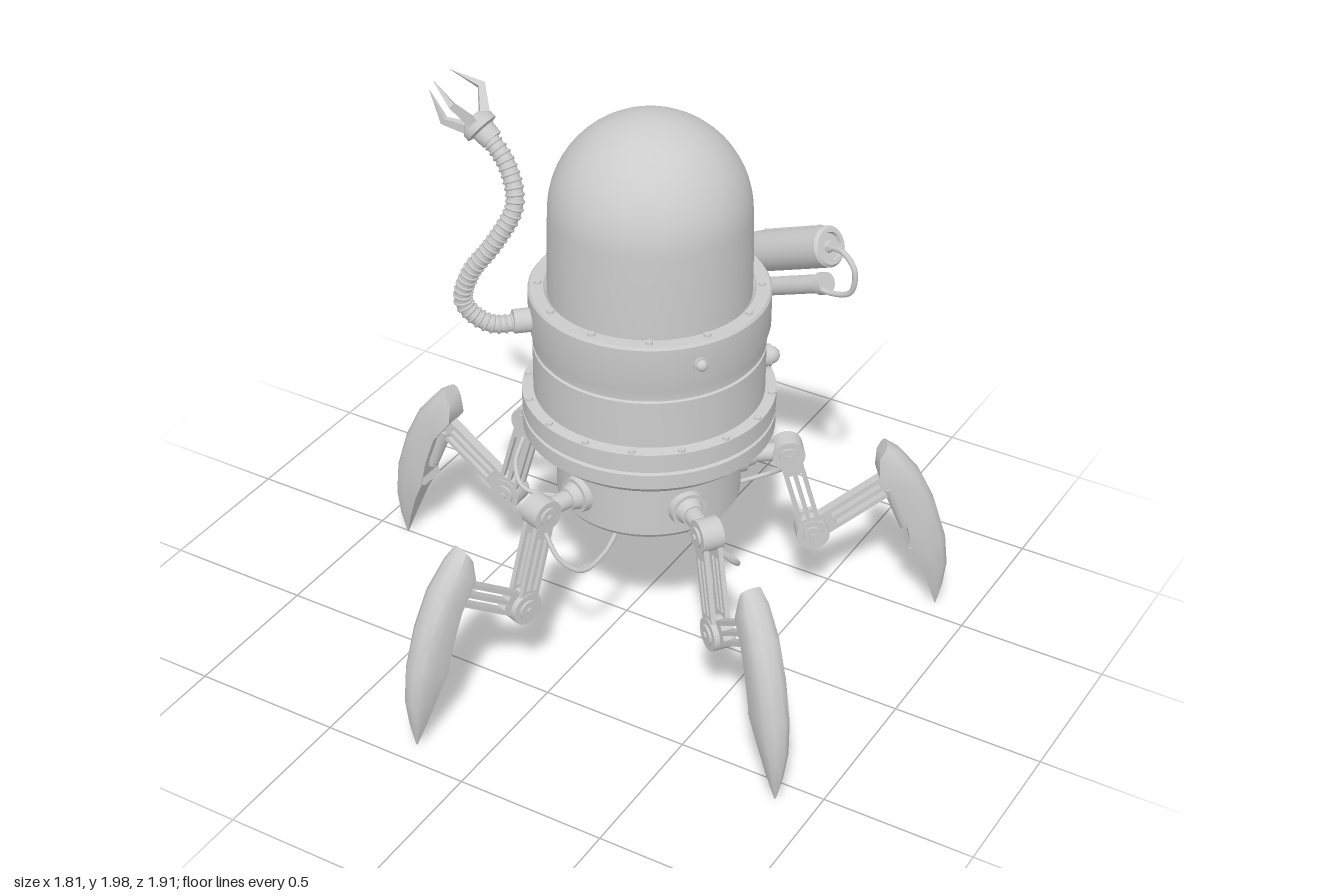
import * as THREE from 'three';
import { toCreasedNormals } from 'three/addons/utils/BufferGeometryUtils.js';

const MAT = new THREE.MeshStandardMaterial({ color: 0xcccccc });
const V = (x, y, z = 0) => new THREE.Vector3(x, y, z);
const UP = V(0, 1, 0);

function add(parent, name, geo, pos = [0, 0, 0]) {
  const m = new THREE.Mesh(geo, MAT);
  m.name = name;
  m.position.set(...pos);
  parent.add(m);
  return m;
}

// Turned solid from [radius, height] pairs, listed bottom to top
const lathe = (pts, seg = 48) =>
  toCreasedNormals(new THREE.LatheGeometry(pts.map(p => new THREE.Vector2(...p)), seg), 0.6);

// Cylinder between two points
function rod(parent, name, a, b, r0, r1 = r0, seg = 20) {
  const d = b.clone().sub(a);
  const m = add(parent, name, new THREE.CylinderGeometry(r1, r0, d.length(), seg));
  m.position.copy(a).addScaledVector(d, 0.5);
  m.quaternion.setFromUnitVectors(UP, d.normalize());
  return m;
}

const cable = (parent, name, pts, r = 0.008) =>
  add(parent, name, new THREE.TubeGeometry(new THREE.CatmullRomCurve3(pts), 40, r, 8));

// Flat link with two long slots, lying between two points of the x-y plane
function slottedLink(parent, name, a, b, height, depth, z) {
  const d = b.clone().sub(a), L = d.length(), h = height / 2;
  const s = new THREE.Shape([[0, -h], [L, -h], [L, h], [0, h]].map(p => new THREE.Vector2(...p)));
  for (const k of [-1, 1]) {
    const y0 = k * h * 0.18, y1 = k * h * 0.62;
    s.holes.push(new THREE.Path([[L * 0.24, y0], [L * 0.8, y0], [L * 0.8, y1], [L * 0.24, y1]]
      .map(p => new THREE.Vector2(...p))));
  }
  const g = new THREE.ExtrudeGeometry(s, { depth, bevelEnabled: false }).translate(0, 0, -depth / 2);
  const m = add(parent, name, g, [a.x, a.y, z]);
  m.rotation.z = Math.atan2(d.y, d.x);
}

// Curved claw foot lofted from rows of [outer x, outer y, inner x, inner y, half width]
function footGeometry() {
  const rows = [
    [0.773, 0.667, 0.748, 0.62, 0.036], [0.815, 0.635, 0.748, 0.55, 0.05],
    [0.884, 0.55, 0.81, 0.466, 0.055], [0.942, 0.43, 0.848, 0.36, 0.055],
    [0.985, 0.29, 0.872, 0.255, 0.052], [0.998, 0.175, 0.905, 0.185, 0.042],
    [0.99, 0.085, 0.942, 0.085, 0.024], [0.974, 0, 0.97, 0, 0.003]];
  const sec = [[0, -0.9], [0.55, -1], [0.85, -0.8], [1, -0.35], [1, 0.35], [0.85, 0.8], [0.55, 1], [0, 0.9]];
  const n = sec.length, pos = [], idx = [];
  for (const [ox, oy, ix, iy, w] of rows)
    for (const [u, v] of sec) pos.push(ix + (ox - ix) * u, iy + (oy - iy) * u, v * w);
  for (let i = 0; i < rows.length - 1; i++)
    for (let j = 0; j < n; j++) {
      const a = i * n + j, b = i * n + (j + 1) % n;
      idx.push(a, b, a + n, b, b + n, a + n);
    }
  for (let j = 1; j < n - 1; j++) idx.push(0, j + 1, j);
  const g = new THREE.BufferGeometry();
  g.setAttribute('position', new THREE.Float32BufferAttribute(pos, 3));
  g.setIndex(idx);
  return toCreasedNormals(g, 0.7);
}

// One leg reaching out along +x from the hub axis
function makeLeg(footGeo) {
  const leg = new THREE.Group();
  leg.name = 'leg';
  const hip = V(0.45, 0.65), knee = V(0.54, 0.333), ankle = V(0.82, 0.53);
  rod(leg, 'hipFlange', V(0.26, 0.65), V(0.315, 0.65), 0.066, 0.058);
  rod(leg, 'hipCollar', V(0.31, 0.65), V(0.345, 0.65), 0.048, 0.036);
  rod(leg, 'hipAxle', V(0.3, 0.65), hip, 0.03);
  for (const [p, r, name] of [[hip, 0.053, 'hipJoint'], [knee, 0.055, 'kneeJoint']]) {
    rod(leg, name, V(p.x, p.y, -0.036), V(p.x, p.y, 0.036), r, r, 28);
    rod(leg, name + 'Cap', V(p.x, p.y, -0.044), V(p.x, p.y, 0.044), r * 0.62);
    rod(leg, name + 'Pin', V(p.x, p.y, -0.05), V(p.x, p.y, 0.05), r * 0.22, r * 0.22, 8);
  }
  for (const s of [-1, 1]) slottedLink(leg, 'thighPlate', hip, knee, 0.07, 0.016, s * 0.024);
  slottedLink(leg, 'shin', knee, ankle, 0.08, 0.034, 0);
  // Cylinder and lip on the inner face of the foot
  rod(leg, 'footPiston', V(0.795, 0.49), V(0.855, 0.33), 0.028, 0.022, 12);
  const lip = add(leg, 'footLip', new THREE.BoxGeometry(0.05, 0.035, 0.09), [0.885, 0.272, 0]);
  lip.rotation.z = -0.3;
  add(leg, 'foot', footGeo);
  cable(leg, 'legCable', [V(0.46, 0.59, -0.03), V(0.455, 0.52, -0.09), V(0.4, 0.47, -0.13),
    V(0.28, 0.46, -0.1), V(0.16, 0.48, -0.04), V(0.07, 0.5, 0)]);
  return leg;
}

function makeBody() {
  const body = new THREE.Group();
  body.name = 'body';
  const dome = [[0.318, 1.27], [0.318, 1.42], [0.314, 1.565]];
  for (let i = 1; i <= 16; i++) {
    const t = i / 16 * Math.PI / 2;
    dome.push([0.314 * Math.cos(t), 1.565 + 0.314 * Math.sin(t)]);
  }
  add(body, 'dome', lathe(dome, 64));
  add(body, 'hull', lathe([[0, 0.77], [0.3, 0.77], [0.37, 0.78], [0.402, 0.81], [0.402, 0.86], [0.39, 0.863],
    [0.39, 0.87], [0.402, 0.873], [0.402, 0.935], [0.366, 0.94], [0.366, 1.1], [0.358, 1.103], [0.358, 1.11],
    [0.366, 1.113], [0.368, 1.14], [0.378, 1.18], [0.378, 1.295], [0.372, 1.303], [0.33, 1.303],
    [0.318, 1.29]], 64));
  add(body, 'hub', lathe([[0, 0.455], [0.085, 0.455], [0.095, 0.465], [0.095, 0.495], [0.19, 0.495],
    [0.2, 0.515], [0.245, 0.515], [0.25, 0.54], [0.285, 0.545], [0.296, 0.56], [0.296, 0.735], [0.27, 0.74],
    [0.27, 0.755], [0.296, 0.757], [0.296, 0.79]], 64));
  // Rivet rings
  for (const [n, r, y] of [[12, 0.347, 1.303], [16, 0.388, 0.936]])
    for (let i = 0; i < n; i++) {
      const a = i / n * Math.PI * 2;
      add(body, 'rivet', new THREE.CylinderGeometry(0.011, 0.014, 0.016, 8), [r * Math.sin(a), y, r * Math.cos(a)]);
    }
  // Side studs and the round lamp
  for (const [x, z, y, r] of [[0.31, 0.225, 1.23, 0.024], [-0.31, -0.225, 1.23, 0.024], [0.3, -0.22, 1.02, 0.036]]) {
    const out = V(x, 0, z).normalize(), at = k => out.clone().multiplyScalar(k).setY(y);
    rod(body, 'studBase', at(0.35), at(0.385), r);
    const cap = add(body, 'studCap', new THREE.SphereGeometry(r * 0.8, 16, 10));
    cap.position.copy(at(0.385));
  }
  return body;
}

// Ribbed hose arm ending in a three-fingered gripper
function makeArm() {
  const arm = new THREE.Group();
  arm.name = 'arm';
  const path = new THREE.CatmullRomCurve3([V(-0.19, 1.22, 0.25), V(-0.29, 1.22, 0.335), V(-0.36, 1.29, 0.37),
    V(-0.335, 1.4, 0.37), V(-0.26, 1.52, 0.34), V(-0.215, 1.64, 0.295), V(-0.26, 1.75, 0.265), V(-0.34, 1.83, 0.255)]);
  add(arm, 'armHose', new THREE.TubeGeometry(path, 90, 0.026, 14));
  for (let i = 1; i < 42; i++) {
    const u = i / 42;
    const ring = add(arm, 'hoseRib', new THREE.TorusGeometry(0.026, 0.005, 6, 16));
    ring.position.copy(path.getPointAt(u));
    ring.quaternion.setFromUnitVectors(V(0, 0, 1), path.getTangentAt(u));
  }
  rod(arm, 'armSocket', V(-0.18, 1.22, 0.24), V(-0.235, 1.22, 0.29), 0.038);
  const grip = new THREE.Group();
  grip.name = 'gripper';
  grip.position.set(-0.34, 1.83, 0.255);
  grip.rotation.z = Math.atan2(0.78, 0.62);
  arm.add(grip);
  add(grip, 'wrist', lathe([[0, -0.03], [0.035, -0.03], [0.038, 0.01], [0.055, 0.015], [0.055, 0.035],
    [0.03, 0.06], [0, 0.06]], 20));
  const blade = new THREE.Shape([[0.01, 0.035], [0.045, 0.03], [0.103, 0.115], [0.052, 0.21],
    [0.08, 0.118]].map(p => new THREE.Vector2(...p)));
  for (let i = 0; i < 3; i++) {
    const g = new THREE.ExtrudeGeometry(blade, { depth: 0.03, bevelEnabled: false }).translate(0, 0, -0.015);
    // Narrow each finger towards its tip
    const p = g.attributes.position;
    for (let k = 0; k < p.count; k++) p.setZ(k, p.getZ(k) * (1.2 - p.getY(k) * 5.2));
    g.computeVertexNormals();
    add(grip, 'finger', g).rotation.y = Math.PI + i * Math.PI * 2 / 3;
  }
  return arm;
}

// Slanted cannon on the back
function makeCannon() {
  const gun = new THREE.Group();
  gun.name = 'cannon';
  const tail = V(0.505, 1.365, -0.395), muzzle = V(-0.04, 1.1, -0.535);
  const dir = tail.clone().sub(muzzle), L = dir.length();
  const barrel = new THREE.Group();
  barrel.name = 'barrel';
  barrel.position.copy(muzzle);
  barrel.quaternion.setFromUnitVectors(UP, dir.normalize());
  gun.add(barrel);
  add(barrel, 'barrelTube', lathe([[0, 0.05], [0.032, 0.05], [0.032, 0], [0.044, 0], [0.047, 0.01], [0.047, 0.075],
    [0.05, 0.08], [0.055, 0.09], [0.055, 0.27], [0.064, 0.28], [0.066, 0.3], [0.066, L - 0.01], [0.058, L],
    [0.045, L], [0.042, L - 0.012], [0.02, L - 0.012], [0.016, L + 0.005], [0, L + 0.005]], 32));
  // Cooling ribs along the rear half
  for (let i = 0; i < 8; i++) {
    const rib = add(barrel, 'coolingRib', new THREE.TorusGeometry(0.065, 0.005, 6, 16, Math.PI * 0.8), [0, L - 0.05 - i * 0.034, 0]);
    rib.rotation.set(Math.PI / 2, 0, Math.PI * 1.1);
  }
  // Lower tube and mount
  const drop = V(0.01, -0.125, 0.01);
  rod(gun, 'lowerTube', tail.clone().add(drop).addScaledVector(dir, -0.04), tail.clone().add(drop).addScaledVector(dir, -0.36), 0.03);
  rod(gun, 'lowerTubeCap', tail.clone().add(drop).addScaledVector(dir, -0.05), tail.clone().add(drop).addScaledVector(dir, -0.02), 0.036);
  rod(gun, 'mount', V(0.17, 1.22, -0.33), V(0.2, 1.22, -0.46), 0.045);
  cable(gun, 'cannonCable', [V(0.5, 1.36, -0.395), V(0.56, 1.37, -0.37), V(0.61, 1.33, -0.35), V(0.6, 1.25, -0.35),
    V(0.53, 1.22, -0.36), V(0.46, 1.22, -0.375)], 0.009);
  return gun;
}

export function createModel() {
  const model = new THREE.Group();
  model.name = 'walkerRobot';
  const core = new THREE.Group();
  core.name = 'walker';
  core.position.x = 0.082;
  model.add(core);
  core.add(makeBody());
  const footGeo = footGeometry();
  for (let i = 0; i < 5; i++) {
    const leg = makeLeg(footGeo);
    leg.rotation.y = -(36 + i * 72) * Math.PI / 180;
    core.add(leg);
  }
  model.add(makeArm(), makeCannon());
  return model;
}
